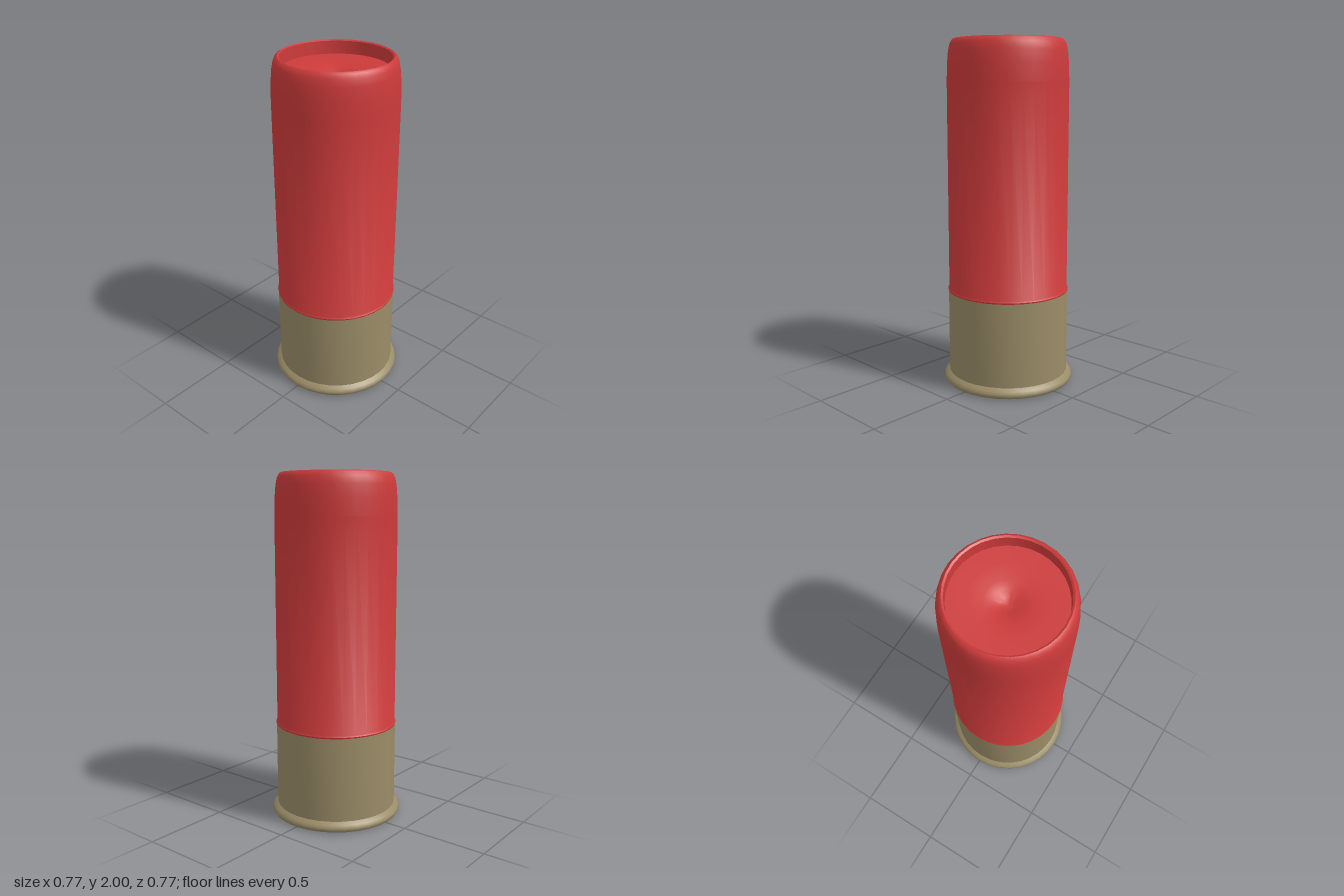
import * as THREE from 'three';
import { toCreasedNormals } from 'three/addons/utils/BufferGeometryUtils.js';

const SIDES = 32;

// Turns a profile of [radius, height] points around the y axis.
function turned(name, profile, material) {
  const points = profile.map(([r, y]) => new THREE.Vector2(r, y));
  const geometry = toCreasedNormals(new THREE.LatheGeometry(points, SIDES), 0.7);
  const mesh = new THREE.Mesh(geometry, material);
  mesh.name = name;
  return mesh;
}

function flatColour(name, color) {
  const material = new THREE.MeshStandardMaterial({ color });
  material.name = name;
  return material;
}

export function createModel() {
  const red = flatColour('red plastic', 0xcc3a3a);
  const brass = flatColour('dull brass', 0x9a8c67);
  const steel = flatColour('grey steel', 0x747477);

  const group = new THREE.Group();
  group.name = 'cartridge';

  // Metal base: underside with a primer pocket, flared rim, straight wall
  group.add(turned('base', [
    [0.153, 0.02], [0.155, 0.008], [0.163, 0], [0.362, 0], [0.376, 0.006],
    [0.384, 0.02], [0.383, 0.032], [0.373, 0.045], [0.353, 0.06],
    [0.353, 0.55], [0.34, 0.552],
  ], brass));

  // Primer disc, just inside its pocket
  group.add(turned('primer', [[0, 0.006], [0.145, 0.006], [0.153, 0.012]], steel));

  // Plastic tube: small lip above the metal, rolled mouth, inner wall
  group.add(turned('tube', [
    [0.345, 0.545], [0.355, 0.548], [0.357, 0.556], [0.35, 0.566],
    [0.35, 1.76], [0.347, 1.86], [0.341, 1.93], [0.333, 1.97],
    [0.322, 1.992], [0.31, 2], [0.3, 1.994], [0.298, 1.92],
  ], red));

  // Sunken closing disc with a soft central dimple
  group.add(turned('closure', [
    [0.299, 1.922], [0.2, 1.918], [0.12, 1.912], [0.08, 1.904], [0.04, 1.885], [0, 1.873],
  ], red));

  return group;
}
